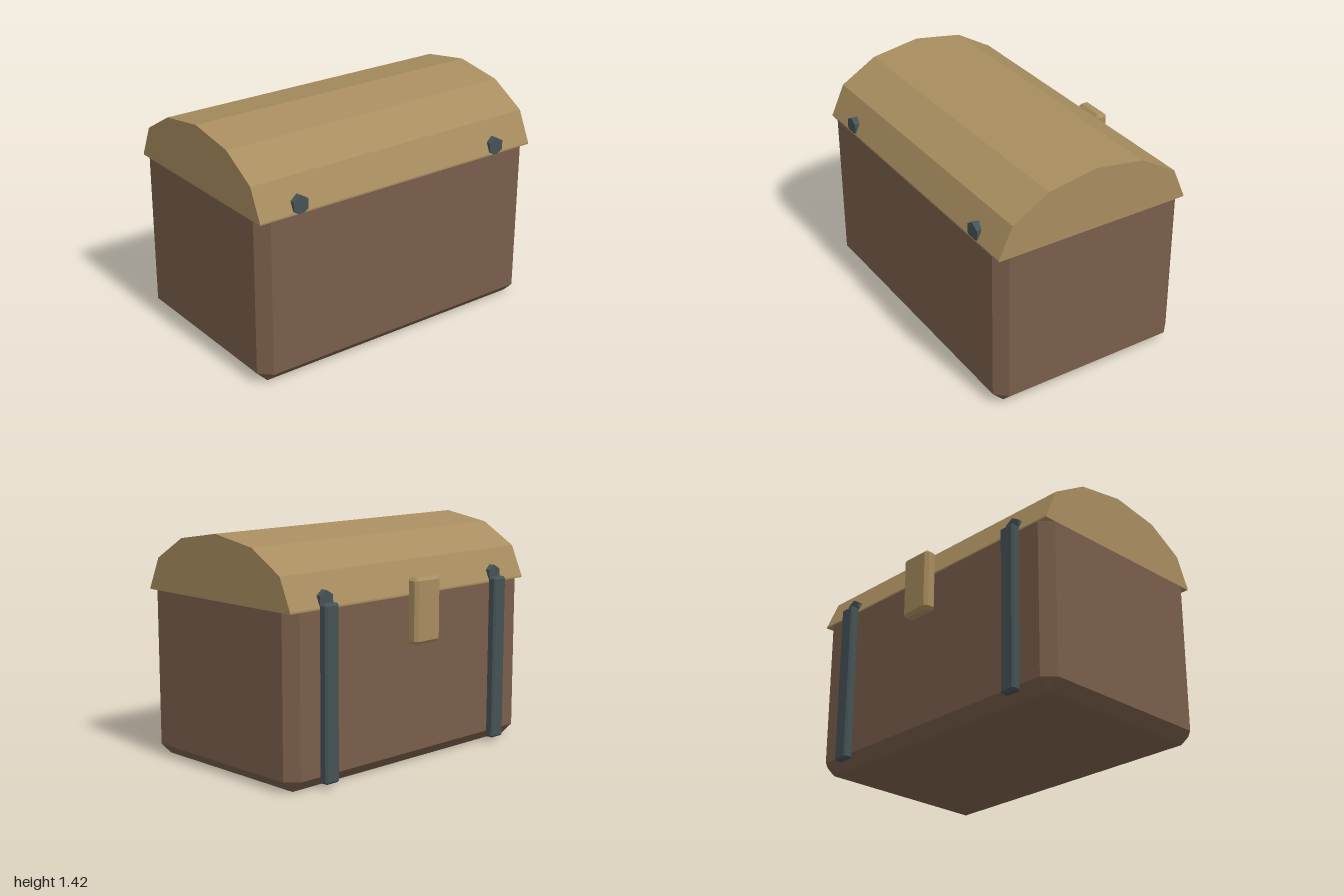
import * as THREE from 'three';
import { ConvexGeometry } from 'three/addons/geometries/ConvexGeometry.js';

const wood = new THREE.MeshStandardMaterial({ color: 0x795e4a });
wood.name = 'brown wood';
const tan = new THREE.MeshStandardMaterial({ color: 0xa88d5f });
tan.name = 'tan wood';
const iron = new THREE.MeshStandardMaterial({ color: 0x455256 });
iron.name = 'dark iron';

// Box between two corners with every edge cut by c; squareTop leaves the top rim uncut
function chamferedBox(min, max, c, squareTop = false) {
  const mid = min.map((v, i) => (v + max[i]) / 2);
  const half = max.map((v, i) => (v - min[i]) / 2);
  const points = [];
  for (const sx of [-1, 1]) for (const sy of [-1, 1]) for (const sz of [-1, 1]) {
    for (let face = 0; face < 3; face++) {
      const s = [sx, sy, sz];
      const p = half.map((h, i) => mid[i] + s[i] * (i === face ? h : h - c));
      if (squareTop && sy > 0) {
        if (face === 1) continue;
        p[1] = max[1];
      }
      points.push(new THREE.Vector3(...p));
    }
  }
  return new ConvexGeometry(points);
}

export function createModel() {
  const chest = new THREE.Group();
  chest.name = 'chest';
  const add = (name, geometry, material) => {
    const mesh = new THREE.Mesh(geometry, material);
    mesh.name = name;
    chest.add(mesh);
    return mesh;
  };

  // Body with cut corners and bottom edges
  add('body', chamferedBox([-1, 0, -0.58], [1, 1.03, 0.69], 0.07, true), wood);

  // Faceted barrel lid, profile given as z, y and extruded along x
  const profile = [
    [0.69, 1.03], [0.69, 1.04], [0.602, 1.23], [0.37, 1.367], [0.055, 1.418],
    [-0.263, 1.367], [-0.497, 1.23], [-0.58, 1.04], [-0.58, 1.03],
  ].map(([z, y]) => new THREE.Vector2(-z, y));
  const lid = new THREE.ExtrudeGeometry(new THREE.Shape(profile), { depth: 2, bevelEnabled: false });
  lid.translate(0, 0, -1);
  lid.rotateY(Math.PI / 2);
  add('lid', lid, tan);

  // Hexagonal rods through the lid and straps down the back
  for (const side of [-1, 1]) {
    const label = side > 0 ? 'left' : 'right';
    const x = side * 0.727;
    const rod = new THREE.CylinderGeometry(0.058, 0.058, 1.27, 6).toNonIndexed();
    rod.rotateX(Math.PI / 2);
    rod.computeVertexNormals();
    add(label + 'Rod', rod, iron).position.set(x, 1.078, 0.055);
    add(label + 'Strap', chamferedBox([x - 0.053, 0.03, -0.632], [x + 0.053, 1.065, -0.57], 0.012), iron);
  }

  // Latch plate
  add('latch', chamferedBox([-0.107, 0.748, -0.688], [0.107, 1.148, -0.605], 0.02), tan);

  return chest;
}
